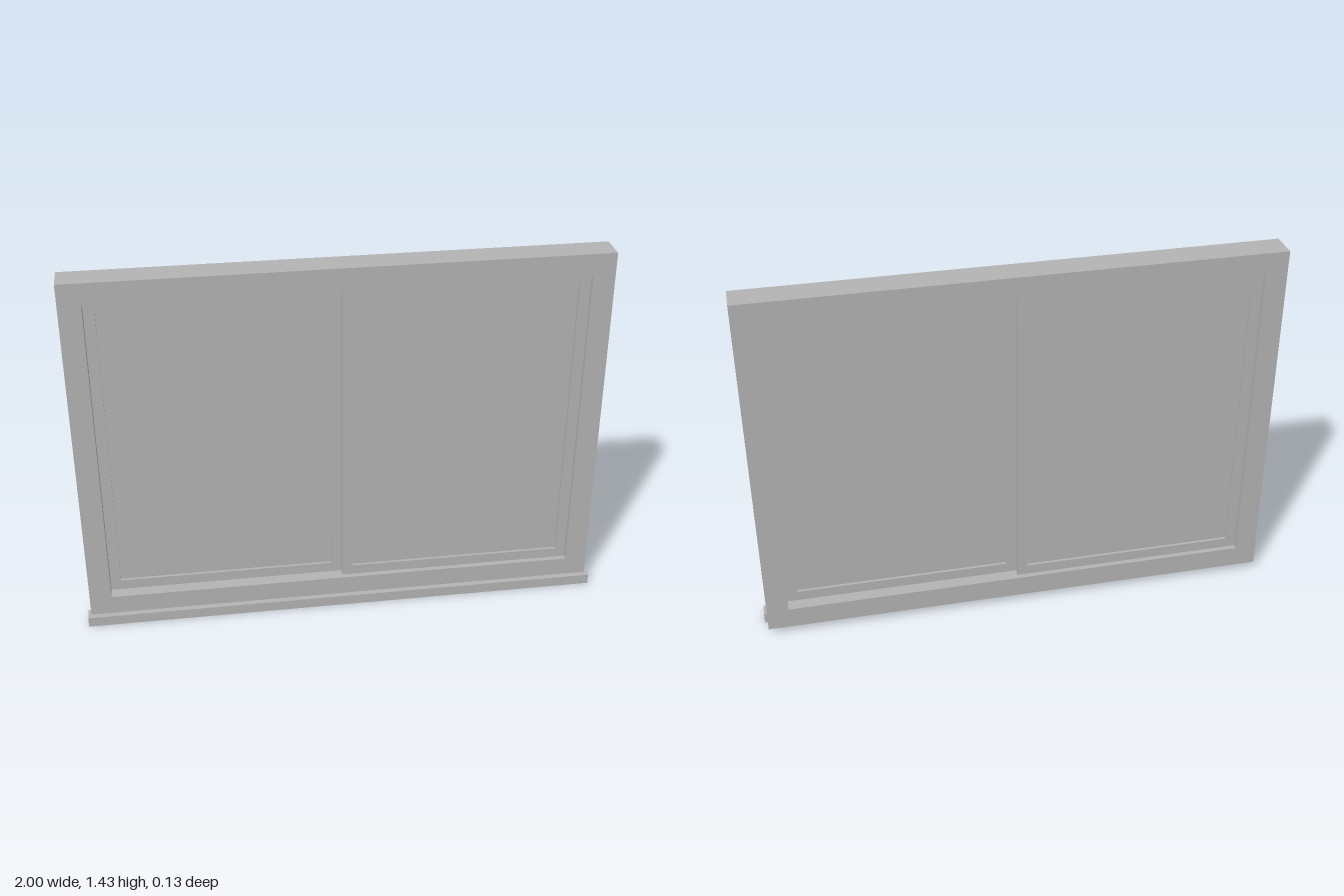
import * as THREE from 'three';

const grey = new THREE.MeshStandardMaterial({ color: 0xb2b2b2 });
grey.name = 'light grey';

// Rectangular ring with border widths, extruded from z0 to z1
function ring(name, [x0, x1, y0, y1], [a0, a1, b0, b1], z0, z1) {
  const rect = (p, l, r, b, t) => p.moveTo(l, b).lineTo(r, b).lineTo(r, t).lineTo(l, t).closePath();
  const shape = rect(new THREE.Shape(), x0, x1, y0, y1);
  shape.holes.push(rect(new THREE.Path(), a0, a1, b0, b1));
  const geo = new THREE.ExtrudeGeometry(shape, { depth: z1 - z0, bevelEnabled: false });
  geo.translate(0, 0, z0);
  const mesh = new THREE.Mesh(geo, grey);
  mesh.name = name;
  return mesh;
}

function box(name, x0, x1, y0, y1, z0, z1) {
  const mesh = new THREE.Mesh(new THREE.BoxGeometry(x1 - x0, y1 - y0, z1 - z0), grey);
  mesh.position.set((x0 + x1) / 2, (y0 + y1) / 2, (z0 + z1) / 2);
  mesh.name = name;
  return mesh;
}

// Sliding sash: rails around a slightly recessed pane
function sash(name, x0, x1, z0, z1) {
  const rail = 0.04, y0 = 0.114, y1 = 1.344, recess = 0.011;
  const inner = [x0 + rail, x1 - rail, y0 + rail, y1 - rail];
  const group = new THREE.Group();
  group.name = name;
  group.add(ring(name + 'Rails', [x0, x1, y0, y1], inner, z0, z1));
  group.add(box(name + 'Pane', ...inner, z0 + recess, z1 - recess));
  return group;
}

export function createModel() {
  const model = new THREE.Group();
  model.name = 'slidingWindow';

  // Outer frame
  model.add(ring('outerFrame', [-0.988, 0.988, 0.03, 1.426], [-0.905, 0.905, 0.114, 1.344], -0.067, 0.044));

  // Staggered sashes: the one on +x slides in the front track
  model.add(sash('rearSash', -0.905, 0, -0.047, -0.006));
  model.add(sash('frontSash', 0, 0.905, -0.017, 0.024));

  // Projecting sill
  model.add(box('sill', -1, 1, 0, 0.04, 0.013, 0.067));
  return model;
}
